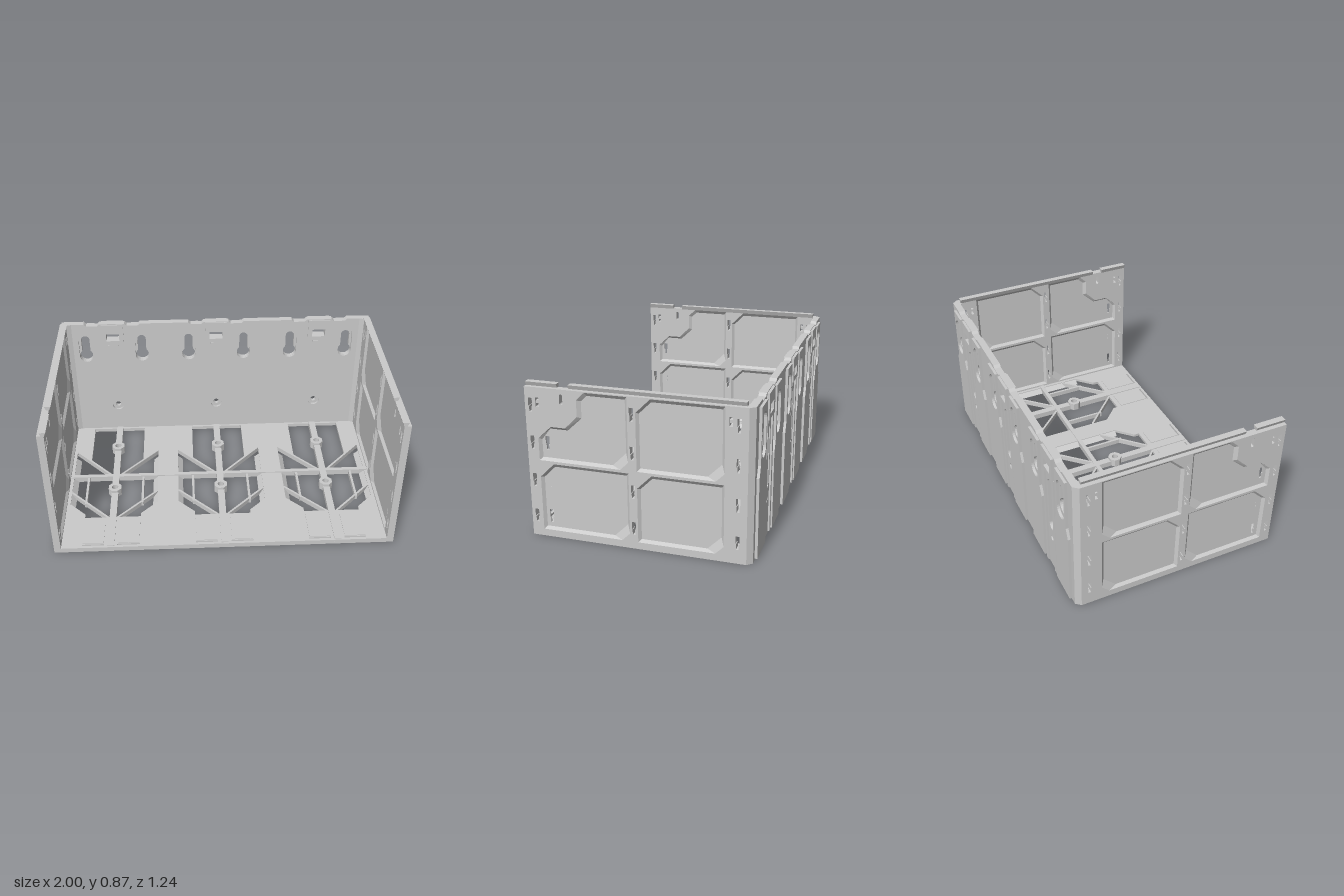
import * as THREE from 'three';

const grey = new THREE.MeshStandardMaterial({ color: 0xcccccc, flatShading: true, side: THREE.DoubleSide });
const BAYS = [-0.67, 0, 0.67];
const KEYS = [-0.85, -0.485, -0.18, 0.18, 0.485, 0.85];

const poly = (pts) => new THREE.Shape(pts.map(([x, y]) => new THREE.Vector2(x, y)));
const rect = (x0, x1, y0, y1) => [[x0, y0], [x1, y0], [x1, y1], [x0, y1]];
const shift = (pts, dx, dy = 0) => pts.map(([x, y]) => [x + dx, y + dy]);

// Outline points of a circle, stadium and keyhole
function arc(x, y, r, a0, a1, n = 12) {
  return Array.from({ length: n + 1 }, (_, i) => {
    const a = a0 + ((a1 - a0) * i) / n;
    return [x + r * Math.cos(a), y + r * Math.sin(a)];
  });
}
const circle = (x, y, r, n = 20) => arc(x, y, r, 0, Math.PI * 2, n).slice(0, n);
const stadium = (x, r, y0, y1) => [...arc(x, y1, r, 0, Math.PI), ...arc(x, y0, r, Math.PI, Math.PI * 2)];
function keyhole(x, y0, y1, R, r) {
  const a = Math.acos(r / R);
  return [...arc(x, y1, r, 0, Math.PI), ...arc(x, y0, R, Math.PI - a, Math.PI * 2 + a, 18)];
}

// Flat plate with holes, extruded from z = 0 to depth
function plate(outline, holes, depth) {
  const s = poly(outline);
  s.holes = holes.map((h) => poly(h));
  return new THREE.ExtrudeGeometry(s, { depth, bevelEnabled: false });
}

function add(parent, name, geo, x = 0, y = 0, z = 0) {
  const m = new THREE.Mesh(geo, grey);
  m.name = name;
  m.position.set(x, y, z);
  parent.add(m);
  return m;
}

function box(parent, name, x0, x1, y0, y1, z0, z1) {
  return add(parent, name, new THREE.BoxGeometry(x1 - x0, y1 - y0, z1 - z0), (x0 + x1) / 2, (y0 + y1) / 2, (z0 + z1) / 2);
}

// Sloped rim joining an outer and an inner outline, on both faces of the wall
function bevelRing(outer, inner, hi, lo) {
  const v = [];
  const n = outer.length;
  for (const s of [1, -1]) {
    for (let i = 0; i < n; i++) {
      const j = (i + 1) % n;
      const a = [...outer[i], s * hi], b = [...outer[j], s * hi];
      const c = [...inner[j], s * lo], d = [...inner[i], s * lo];
      v.push(...(s > 0 ? [a, b, c, a, c, d] : [a, c, b, a, d, c]).flat());
    }
  }
  const g = new THREE.BufferGeometry();
  g.setAttribute('position', new THREE.Float32BufferAttribute(v, 3));
  g.computeVertexNormals();
  return g;
}

// Recessed panel outlines in the wall's (z, y) plane
function recess(z0, z1, y0, y1, notched) {
  const outTop = notched
    ? [[z1, 0.57], [0.48, 0.64], [0.40, 0.64], [0.33, 0.71], [0.33, 0.80], [0.285, y1]]
    : [[z1, y1 - 0.08], [z1 - 0.08, y1]];
  const inTop = notched
    ? [[z1 - 0.015, 0.56], [0.49, 0.625], [0.39, 0.625], [0.31, 0.70], [0.31, 0.793], [0.277, y1 - 0.02]]
    : [[z1 - 0.015, y1 - 0.085], [z1 - 0.08, y1 - 0.02]];
  return {
    outer: [[z0 + 0.045, y0], [z1, y0], ...outTop, [z0, y1], [z0, y0 + 0.045]],
    inner: [[z0 + 0.09, y0 + 0.015], [z1 - 0.015, y0 + 0.015], ...inTop, [z0 + 0.015, y1 - 0.02], [z0 + 0.015, y0 + 0.09]],
  };
}

function sideWall() {
  const wall = new THREE.Group();
  const T = 0.02, P = 0.005;
  const slot = (z, y) => shift([[-0.007, 0], [0.007, 0], [0.007, 0.03], [0.011, 0.03], [0.011, 0.075], [-0.011, 0.075], [-0.011, 0.03], [-0.007, 0.03]], z, y);
  const rows = [0.08, 0.29, 0.505, 0.715];
  const panels = [
    recess(0.055, 0.555, 0.04, 0.43), recess(-0.455, 0.01, 0.04, 0.43),
    recess(0.055, 0.555, 0.445, 0.845, true), recess(-0.455, 0.01, 0.445, 0.845),
  ];
  const holes = [stadium(0.415, 0.009, 0.775, 0.815), rect(0.541, 0.559, 0.745, 0.795), rect(-0.494, -0.476, 0.745, 0.795)];
  for (const z of [0.59, 0.033, -0.527]) for (const y of rows) holes.push(slot(z, y));
  const frame = plate(rect(-0.57, 0.62, 0, 0.85), [...panels.map((p) => p.outer), ...holes], 2 * T);
  add(wall, 'wallFrame', frame.translate(0, 0, -T));
  panels.forEach((p, i) => {
    const cut = i === 0 ? [slot(0.51, 0.08), slot(0.51, 0.29)] : i === 2 ? [slot(0.51, 0.505)] : [];
    add(wall, 'recessedPanel', plate(p.inner, cut, 2 * P).translate(0, 0, -P));
    add(wall, 'panelBevel', bevelRing(p.outer, p.inner, T, P));
  });
  // small latch tabs in the square pockets
  for (const z of [0.55, -0.485]) box(wall, 'latchTab', z - 0.009, z + 0.009, 0.762, 0.778, -0.012, 0.012);
  wall.rotation.y = -Math.PI / 2;
  return wall;
}

function backWall() {
  const wall = new THREE.Group();
  wall.name = 'backWall';
  // top edge with shallow dips on both sides of each clip
  const top = [];
  for (const b of BAYS) {
    for (const [a, c] of [[-0.18, -0.08], [0.08, 0.18]]) {
      top.push([b + a, 0.85], [b + a + 0.015, 0.836], [b + c - 0.015, 0.836], [b + c, 0.85]);
    }
  }
  const outline = [[-0.96, 0], [0.96, 0], [0.96, 0.85], ...top.reverse(), [-0.96, 0.85]];
  const windows = BAYS.map((b) => rect(b - 0.042, b + 0.042, 0.715, 0.78));
  add(wall, 'innerSkin', plate(outline, [
    ...KEYS.map((x) => stadium(x, 0.043, 0.615, 0.735)), ...BAYS.map((b) => circle(b, 0.222, 0.038)), ...windows,
  ], 0.015), 0, 0, -0.58);
  add(wall, 'outerSkin', plate(outline, [
    ...KEYS.map((x) => keyhole(x, 0.615, 0.73, 0.042, 0.027)), ...BAYS.map((b) => circle(b, 0.222, 0.018)),
    ...BAYS.map((b) => stadium(b, 0.03, 0.32, 0.62)), ...windows,
  ], 0.025), 0, 0, -0.605);

  // raised columns around and below the keyholes
  const column = [[-0.09, 0.01], [0.09, 0.01], [0.09, 0.46], [0.065, 0.52], [0.065, 0.83], [-0.065, 0.83], [-0.065, 0.52], [-0.09, 0.46]];
  for (const x of KEYS) add(wall, 'keyholeColumn', plate(column, [stadium(0, 0.047, 0.59, 0.74)], 0.015), x, 0, -0.62);

  for (const b of BAYS) {
    // clip frame with window, and lip below it
    add(wall, 'clipFrame', plate(rect(-0.07, 0.07, 0.70, 0.845), [rect(-0.042, 0.042, 0.728, 0.778)], 0.062), b, 0, -0.62);
    box(wall, 'clipLip', b - 0.035, b + 0.035, 0.69, 0.70, -0.6, -0.555);
    for (const s of [-1, 1]) box(wall, 'channelRib', b + s * 0.06 - 0.012, b + s * 0.06 + 0.012, 0.01, 0.70, -0.615, -0.6);
  }
  // chamfered upright corners
  for (const s of [-1, 1]) {
    const c = [[0.93, -0.565], [0.96, -0.555], [1, -0.56], [1, -0.575], [0.975, -0.605], [0.93, -0.605]].map(([x, z]) => [s * x, -z]);
    const g = plate(c, [], 0.85).rotateX(-Math.PI / 2);
    add(wall, 'cornerPost', g);
  }
  return wall;
}

function floor() {
  const g = new THREE.Group();
  g.name = 'floor';
  const flat = (outline, holes, y0, y1) => plate(outline, holes, y1 - y0).rotateX(Math.PI / 2).translate(0, y1, 0);
  const opening = [[-0.17, -0.55], [0.17, -0.55], [0.17, -0.2], [0.27, -0.3], [0.27, 0.23], [0.17, 0.33], [0.17, 0.36],
    [-0.17, 0.36], [-0.17, 0.33], [-0.27, 0.23], [-0.27, -0.3], [-0.17, -0.2]];
  const holes = BAYS.flatMap((b) => [shift(opening, b), rect(b - 0.17, b - 0.04, 0.593, 0.603), rect(b + 0.04, b + 0.17, 0.593, 0.603)]);
  add(g, 'floorPlate', flat(rect(-0.97, 0.97, -0.6, 0.62), holes, 0.012, 0.03));

  for (const b of BAYS) {
    const nuts = [-0.33, 0.1];
    // spine, broken by drilled octagonal bosses
    for (const [z0, z1] of [[-0.58, -0.355], [-0.305, 0.075], [0.125, 0.61]]) box(g, 'spine', b - 0.021, b + 0.021, 0, 0.035, z0, z1);
    for (const z of nuts) add(g, 'boss', flat(arc(b, z, 0.043, Math.PI / 8, Math.PI * 17 / 8, 8).slice(0, 8), [circle(b, z, 0.02, 16)], 0, 0.05));
    for (const s of [-1, 1]) {
      // diagonal braces, side ribs and sloping edges of the opening
      for (const [z0, z1] of [[-0.3, -0.04], [0.12, 0.365]]) {
        const near = 0.025, w = 0.009;
        const [xa, xb] = [b + s * 0.27, b + s * near];
        add(g, 'brace', flat([[xa - w, z0], [xa + w, z0], [xb + w, z1], [xb - w, z1]], [], 0, 0.03));
      }
      box(g, 'sideRib', b + s * 0.175 - 0.007, b + s * 0.175 + 0.007, 0, 0.03, -0.03, 0.23);
      const edge = poly([[s * 0.275, 0], [s * 0.24, 0], [s * 0.275, 0.03]]);
      add(g, 'openingEdge', new THREE.ExtrudeGeometry(edge, { depth: 0.46, bevelEnabled: false }), b, 0, -0.23);
      // raised pads on the front band
      box(g, 'frontPad', b + s * 0.105 - 0.062, b + s * 0.105 + 0.062, 0.02, 0.034, 0.39, 0.588);
    }
  }
  box(g, 'crossBar', -0.965, 0.965, 0, 0.036, -0.046, -0.02);
  // stiffening ribs underneath and perimeter rim
  for (const x of [-0.37, -0.3, 0.3, 0.37]) box(g, 'underRib', x - 0.016, x + 0.016, 0, 0.014, -0.6, 0.62);
  box(g, 'frontRim', -0.97, 0.97, 0, 0.014, 0.605, 0.62);
  box(g, 'backRim', -0.97, 0.97, 0, 0.014, -0.6, -0.56);
  return g;
}

export function createModel() {
  const model = new THREE.Group();
  model.add(floor(), backWall());
  for (const s of [-1, 1]) {
    const wall = sideWall();
    wall.name = s > 0 ? 'leftWall' : 'rightWall';
    wall.position.x = s * 0.98;
    model.add(wall);
    // dovetail rail along the top, with a gap near the front
    const rail = poly([[-0.007, 0.845], [0.007, 0.845], [0.018, 0.872], [-0.018, 0.872]]);
    for (const [z0, z1] of [[-0.56, 0.38], [0.445, 0.62]]) {
      add(model, 'topRail', new THREE.ExtrudeGeometry(rail, { depth: z1 - z0, bevelEnabled: false }), s * 0.967, 0, z0);
    }
  }
  return model;
}
